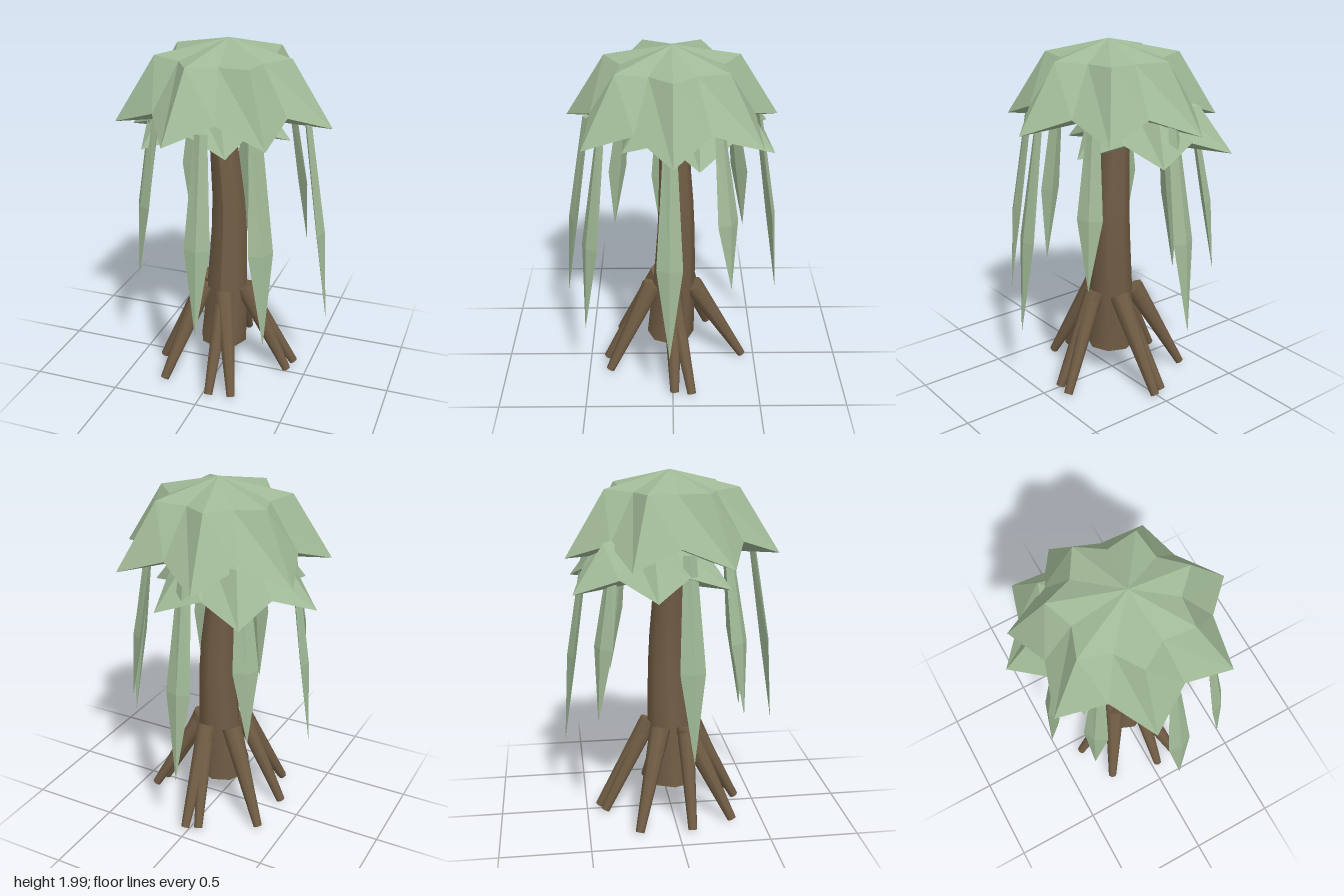
import * as THREE from 'three';

// Faceted closed skin: top point, rings of points going down, bottom point
function loft(top, rings, bottom) {
  const n = rings[0].length;
  const pts = [top, ...rings.flat(), bottom];
  const index = [];
  const at = (r, i) => 1 + r * n + (i % n);
  for (let i = 0; i < n; i++) {
    index.push(0, at(0, i + 1), at(0, i));
    for (let r = 0; r < rings.length - 1; r++) {
      index.push(at(r, i), at(r, i + 1), at(r + 1, i));
      index.push(at(r, i + 1), at(r + 1, i + 1), at(r + 1, i));
    }
    index.push(at(rings.length - 1, i), at(rings.length - 1, i + 1), pts.length - 1);
  }
  const g = new THREE.BufferGeometry();
  g.setAttribute('position', new THREE.Float32BufferAttribute(pts.flat(), 3));
  g.setIndex(index);
  const flat = g.toNonIndexed();
  flat.computeVertexNormals();
  return flat;
}

// Star ring alternating between tips and notches
function starRing(cx, cz, points, tipR, tipY, notchR, notchY) {
  return Array.from({ length: points * 2 }, (_, i) => {
    const a = (i * Math.PI) / points;
    const r = i % 2 ? notchR : tipR;
    return [cx + r * Math.cos(a), i % 2 ? notchY : tipY, cz + r * Math.sin(a)];
  });
}

// Long hanging leaf with a diamond section, given by its lowest point
function frondGeometry([x, y, z]) {
  const len = Math.hypot(x, z);
  const ox = x / len, oz = z / len;
  const topY = 1.61;
  const ring = (k, h, w, d) => [0, 1, 2, 3].map((i) => {
    const s = w * Math.cos((i * Math.PI) / 2);
    const o = d * Math.sin((i * Math.PI) / 2);
    return [x * k + oz * s + ox * o, h, z * k - ox * s + oz * o];
  });
  return loft(
    [x * 0.76, topY, z * 0.76],
    [ring(0.76, topY, 0.035, 0.018), ring(0.915, y + 0.45 * (topY - y), 0.07, 0.026)],
    [x, y, z]
  );
}

export function createModel() {
  const model = new THREE.Group();
  const leaf = new THREE.MeshStandardMaterial({ color: 0xa0b996 });
  leaf.name = 'leaf green';
  const bark = new THREE.MeshStandardMaterial({ color: 0x705c44 });
  bark.name = 'bark brown';
  const add = (name, geometry, material) => {
    const mesh = new THREE.Mesh(geometry, material);
    mesh.name = name;
    model.add(mesh);
    return mesh;
  };

  // Two star-shaped leaf caps
  add('upperCanopy', loft([0.025, 2, 0], [
    starRing(0, 0, 7, 0.375, 1.912, 0.28, 1.905),
    starRing(0.005, 0, 7, 0.6, 1.555, 0.45, 1.65),
  ], [0, 1.57, 0]), leaf);
  add('lowerCanopy', loft([-0.14, 1.73, -0.14], [
    starRing(-0.14, -0.14, 6, 0.29, 1.66, 0.215, 1.655),
    starRing(-0.14, -0.14, 6, 0.48, 1.415, 0.355, 1.5),
  ], [-0.14, 1.425, -0.14]), leaf);

  // Hanging fronds
  const frondTips = [
    [0.62, 0.43, 0.02], [0.39, 0.47, 0.49], [0.05, 0.52, 0.61], [-0.38, 0.71, 0.355],
    [-0.53, 0.5, 0.06], [-0.38, 0.71, -0.44], [-0.04, 0.48, -0.615], [0.41, 0.74, -0.32],
  ];
  frondTips.forEach((tip, i) => add(`frond${i + 1}`, frondGeometry(tip), leaf));

  // Bent, tapering trunk
  const curve = new THREE.CatmullRomCurve3([
    [0, 0.18, 0.01], [0.015, 0.6, -0.012], [0.02, 1, -0.022], [-0.01, 1.4, -0.012], [-0.03, 1.62, -0.02],
  ].map((p) => new THREE.Vector3(...p)));
  const trunk = new THREE.CylinderGeometry(0.073, 0.14, 1, 8, 8);
  const pos = trunk.attributes.position;
  for (let i = 0; i < pos.count; i++) {
    const c = curve.getPointAt(THREE.MathUtils.clamp(pos.getY(i) + 0.5, 0, 1));
    pos.setXYZ(i, c.x + pos.getX(i), c.y, c.z + pos.getZ(i));
  }
  trunk.computeVertexNormals();
  add('trunk', trunk, bark);

  // Five root bases round the trunk, each splitting towards its feet
  const rootFeet = [
    [[0.39, -0.01], [0.405, -0.11]],
    [[0.17, 0.375], [0.04, 0.395]],
    [[-0.26, 0.325], [-0.36, 0.08]],
    [[-0.35, -0.22]],
    [[0.02, -0.425], [-0.05, -0.395]],
  ];
  const up = new THREE.Vector3(0, 1, 0);
  rootFeet.forEach((feet, i) => {
    const a = (i * Math.PI * 2) / 5;
    const top = new THREE.Vector3(0.125 * Math.cos(a), 0.54, 0.125 * Math.sin(a));
    feet.forEach(([x, z], j) => {
      const foot = new THREE.Vector3(x, 0.018, z);
      const dir = top.clone().sub(foot);
      const geometry = new THREE.CylinderGeometry(j ? 0.05 : 0.06, 0.025, dir.length(), 8);
      const root = add(`root${i + 1}branch${j + 1}`, geometry, bark);
      root.position.copy(foot).addScaledVector(dir, 0.5);
      root.quaternion.setFromUnitVectors(up, dir.normalize());
    });
  });

  return model;
}
